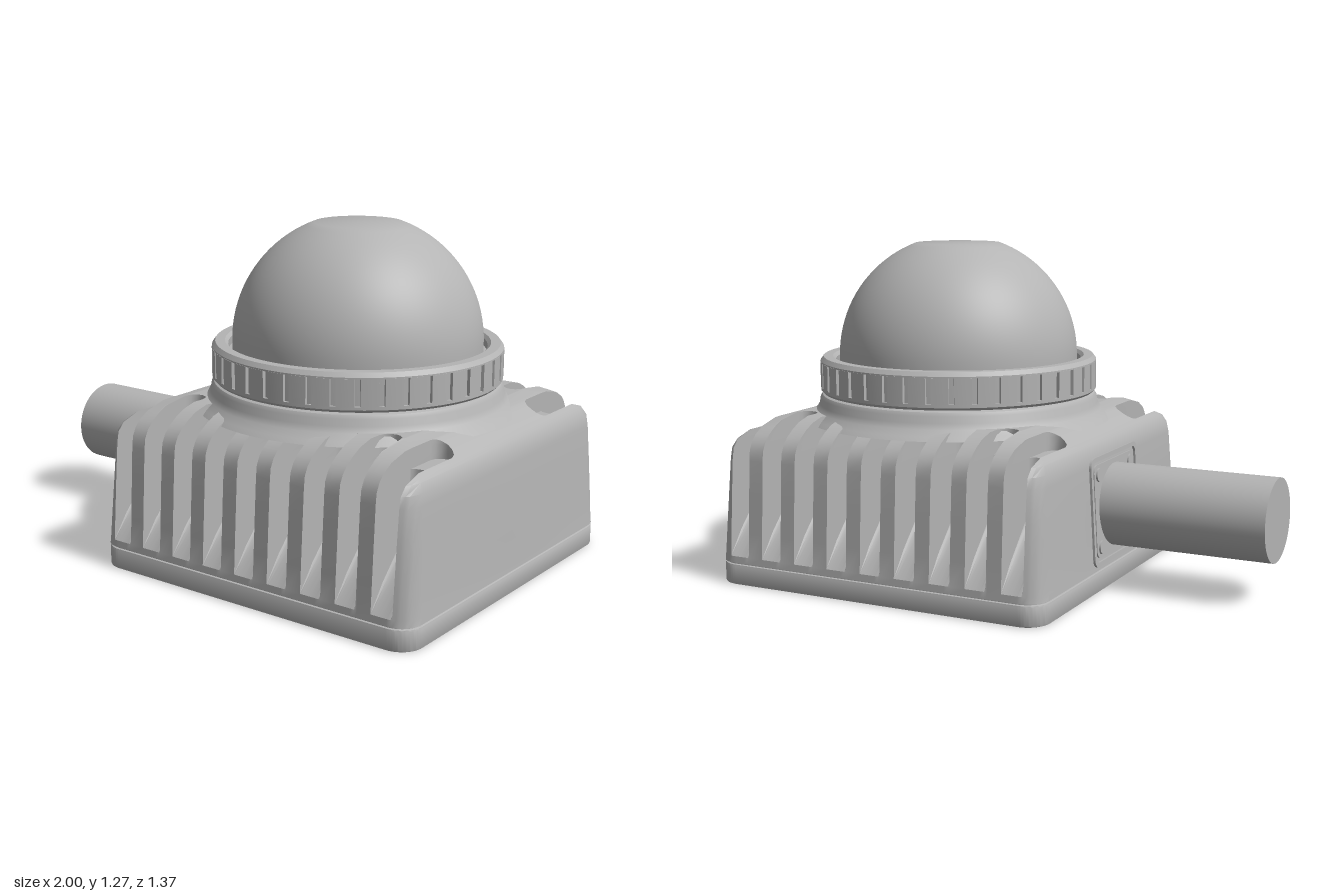
import * as THREE from 'three';
import { toCreasedNormals } from 'three/addons/utils/BufferGeometryUtils.js';

const CX = 0.31; // centre of the housing in x
const GROOVE = 0.042; // half width of a cooling groove

// housing side profile: [height, half width]; the doubled level is the slot floor
const LEVELS = [[0.085, 0.683], [0.11, 0.681], [0.2, 0.676], [0.36, 0.667], [0.48, 0.66], [0.52, 0.655],
  [0.55, 0.64], [0.55, 0.64], [0.575, 0.617], [0.6, 0.58], [0.62, 0.54], [0.635, 0.48]];

// height of the housing's outer skin at distance u from its centre
function skinHeight(u) {
  for (let i = LEVELS.length - 1; i > 0; i--) {
    const [y1, a1] = LEVELS[i], [y0, a0] = LEVELS[i - 1];
    if (u <= a1) return y1;
    if (u <= a0) return y1 + (y0 - y1) * (u - a1) / (a0 - a1);
  }
  return LEVELS[0][0];
}

// half depth of a rounded square of half size a
function halfDepth(u, a, r = 0.08) {
  const over = Math.min(u - (a - r), r);
  return over <= 0 ? a : a - r + Math.sqrt(r * r - over * over);
}

// cross-section of the housing at x, cut back by the groove when there is one
function section({ x, groove }) {
  const u = Math.abs(x), top = skinHeight(u);
  const half = LEVELS.map(([level, a], i) => {
    const y = Math.min(level, top);
    let z = halfDepth(u, Math.max(a, u));
    if (groove && y >= 0.11) {
      const { inner, e } = groove;
      if (i >= 7) z = Math.min(z, inner + e);
      else z = Math.min(z, Math.max(0.685 - (y - 0.11), 0.44) + e * 0.4);
    }
    return [y, z];
  });
  const yTop = half[half.length - 1][0];
  return [...half, [yTop, 0], ...half.slice().reverse().map(([y, z]) => [y, -z])]
    .map(([y, z]) => new THREE.Vector3(x + CX, y, z));
}

function housingGeometry() {
  const slices = [];
  const grooves = Array.from({ length: 9 }, (_, i) => (i - 4) * 0.144);
  const ends = [0.683, 0.681, 0.676, 0.667, 0.66, 0.655, 0.64, 0.63, 0.617, 0.48];
  for (const u of ends) {
    for (const x of [-u, u]) {
      if (grooves.every((g) => Math.abs(x - g) > GROOVE + 0.001)) slices.push({ x });
    }
  }
  for (const g of grooves) {
    const inner = Math.abs(g) > 0.5 ? 0.29 : Math.min(0.44, Math.sqrt(0.58 ** 2 - g * g));
    slices.push({ x: g - GROOVE });
    for (const d of [-1, -0.85, -0.5, 0, 0.5, 0.85, 1]) {
      slices.push({ x: g + d * GROOVE, groove: { inner, e: GROOVE * (1 - Math.sqrt(1 - d * d)) } });
    }
    slices.push({ x: g + GROOVE });
  }
  slices.sort((a, b) => a.x - b.x);

  const rings = slices.map(section), pos = [];
  const tri = (a, b, c) => {
    const area = b.clone().sub(a).cross(c.clone().sub(a)).length();
    if (area > 1e-9) for (const p of [a, b, c]) pos.push(p.x, p.y, p.z);
  };
  for (let s = 0; s + 1 < rings.length; s++) {
    const r0 = rings[s], r1 = rings[s + 1], n = r0.length;
    for (let i = 0; i < n; i++) {
      const j = (i + 1) % n;
      tri(r0[i], r1[i], r1[j]);
      tri(r0[i], r1[j], r0[j]);
    }
  }
  const geo = new THREE.BufferGeometry();
  geo.setAttribute('position', new THREE.Float32BufferAttribute(pos, 3));
  return toCreasedNormals(geo, 0.6);
}

function roundedRect(w, h, r, Type = THREE.Shape) {
  const s = new Type();
  s.absarc(w - r, h - r, r, 0, Math.PI / 2);
  s.absarc(-w + r, h - r, r, Math.PI / 2, Math.PI);
  s.absarc(-w + r, -h + r, r, Math.PI, Math.PI * 1.5);
  s.absarc(w - r, -h + r, r, Math.PI * 1.5, Math.PI * 2);
  s.closePath();
  return s;
}

const circleHole = (x, y, r) => new THREE.Path().absarc(x, y, r, 0, Math.PI * 2, true);

export function createModel() {
  const model = new THREE.Group();
  const grey = new THREE.MeshStandardMaterial({ color: 0xb4b4b4 });
  grey.name = 'grey';

  const add = (name, geometry, x = 0, y = 0, z = 0, parent = model) => {
    const mesh = new THREE.Mesh(geometry, grey);
    mesh.name = name;
    mesh.position.set(x, y, z);
    parent.add(mesh);
    return mesh;
  };
  const lathe = (points, segments = 96) => toCreasedNormals(
    new THREE.LatheGeometry(points.map(([r, y]) => new THREE.Vector2(r, y)), segments), 0.5);

  // finned housing
  add('housing', housingGeometry(), CX);
  model.children[0].position.x = 0;

  // base plate with mounting holes (shape y becomes -z)
  const plate = roundedRect(0.677, 0.677, 0.08);
  const corners = [[-1, -1], [-1, 1], [1, -1], [1, 1]];
  for (const [sx, sz] of corners) {
    plate.holes.push(circleHole(sx * 0.6, sz * 0.6, 0.045), circleHole(sx * 0.49, sz * 0.39, 0.02));
  }
  plate.holes.push(circleHole(0, -0.34, 0.024));
  const slot = roundedRect(0.036, 0.022, 0.021, THREE.Path);
  plate.holes.push(new THREE.Path(slot.getPoints(8).map((p) => p.add(new THREE.Vector2(0, 0.495))).reverse()));
  const plateGeo = new THREE.ExtrudeGeometry(plate, {
    depth: 0.064, bevelThickness: 0.008, bevelSize: 0.008, bevelSegments: 2, curveSegments: 12 });
  plateGeo.rotateX(-Math.PI / 2);
  add('basePlate', toCreasedNormals(plateGeo, 0.5), CX, 0.008);

  // seam between plate and housing
  const seamGeo = new THREE.ExtrudeGeometry(roundedRect(0.676, 0.676, 0.08), { depth: 0.008, bevelEnabled: false });
  seamGeo.rotateX(-Math.PI / 2);
  add('seam', seamGeo, CX, 0.079);

  // corner screws, sunk in the plate, each with a small socket rim
  for (const [sx, sz] of corners) {
    add('baseScrew', new THREE.CylinderGeometry(0.036, 0.036, 0.07, 20), CX + sx * 0.6, 0.047, sz * 0.6);
    const rim = add('screwRim', new THREE.TorusGeometry(0.022, 0.006, 6, 16), CX + sx * 0.6, 0.012, sz * 0.6);
    rim.rotation.x = Math.PI / 2;
  }

  // neck flaring out of the housing
  add('neck', lathe([[0.38, 0.6], [0.6, 0.597], [0.585, 0.612], [0.56, 0.634], [0.547, 0.655], [0.543, 0.68],
    [0.535, 0.693], [0.52, 0.7], [0.4, 0.702]]), CX);

  // retaining ring: smooth core and a notched grip band
  add('retainingRing', lathe([[0.4, 0.7], [0.53, 0.7], [0.54, 0.71], [0.54, 0.722], [0.53, 0.722], [0.53, 0.818],
    [0.54, 0.818], [0.54, 0.824], [0.528, 0.84], [0.492, 0.84], [0.48, 0.828], [0.48, 0.8], [0.4, 0.8]]), CX);
  const band = new THREE.Shape();
  const teeth = 40, step = (Math.PI * 2) / teeth;
  for (let i = 0; i < teeth; i++) {
    const a = i * step;
    for (const f of [0, 0.25, 0.5, 0.75]) {
      const t = a + f * step;
      band[i + f ? 'lineTo' : 'moveTo'](Math.cos(t) * 0.541, Math.sin(t) * 0.541);
    }
    for (const f of [0.78, 0.97]) {
      band.lineTo(Math.cos(a + f * step) * 0.526, Math.sin(a + f * step) * 0.526);
    }
  }
  band.closePath();
  band.holes.push(circleHole(0, 0, 0.5));
  const bandGeo = new THREE.ExtrudeGeometry(band, { depth: 0.098, bevelEnabled: false, curveSegments: 40 });
  bandGeo.rotateX(-Math.PI / 2);
  add('gripBand', toCreasedNormals(bandGeo, 0.3), CX, 0.721);

  // dome with a flat crown
  const dome = [[0.465, 0.78]];
  const last = Math.acos(0.165 / 0.465);
  for (let i = 0; i <= 20; i++) {
    const a = (last * i) / 20;
    dome.push([0.465 * Math.cos(a), 0.84 + 0.465 * Math.sin(a)]);
  }
  dome.push([0, 0.84 + 0.465 * Math.sin(last)]);
  add('dome', toCreasedNormals(new THREE.LatheGeometry(
    dome.map(([r, y]) => new THREE.Vector2(r, y)), 96), 0.4), CX);

  // cable and its entry panel on the side wall
  const cable = add('cable', new THREE.CylinderGeometry(0.157, 0.157, 0.7, 64), -0.65, 0.305);
  cable.rotation.z = Math.PI / 2;
  const entry = new THREE.Group();
  entry.name = 'cableEntry';
  entry.position.set(CX - 0.67, 0.305, 0);
  entry.rotation.set(0, -Math.PI / 2, 0);
  const panel = new THREE.Group();
  panel.rotation.x = -0.055;
  entry.add(panel);
  model.add(entry);
  const frame = roundedRect(0.22, 0.205, 0.035);
  frame.holes.push(roundedRect(0.203, 0.188, 0.025, THREE.Path));
  add('entryFrame', new THREE.ExtrudeGeometry(frame, { depth: 0.009, bevelEnabled: false }), 0, 0, 0, panel);
  add('entryPlate', new THREE.ExtrudeGeometry(roundedRect(0.19, 0.175, 0.03), { depth: 0.006, bevelEnabled: false }),
    0, 0, 0, panel);
  for (const [sx, sy] of corners) {
    const screw = add('entryScrew', new THREE.CylinderGeometry(0.026, 0.026, 0.014, 16), sx * 0.15, sy * 0.137, 0.006, panel);
    screw.rotation.x = Math.PI / 2;
  }
  return model;
}
